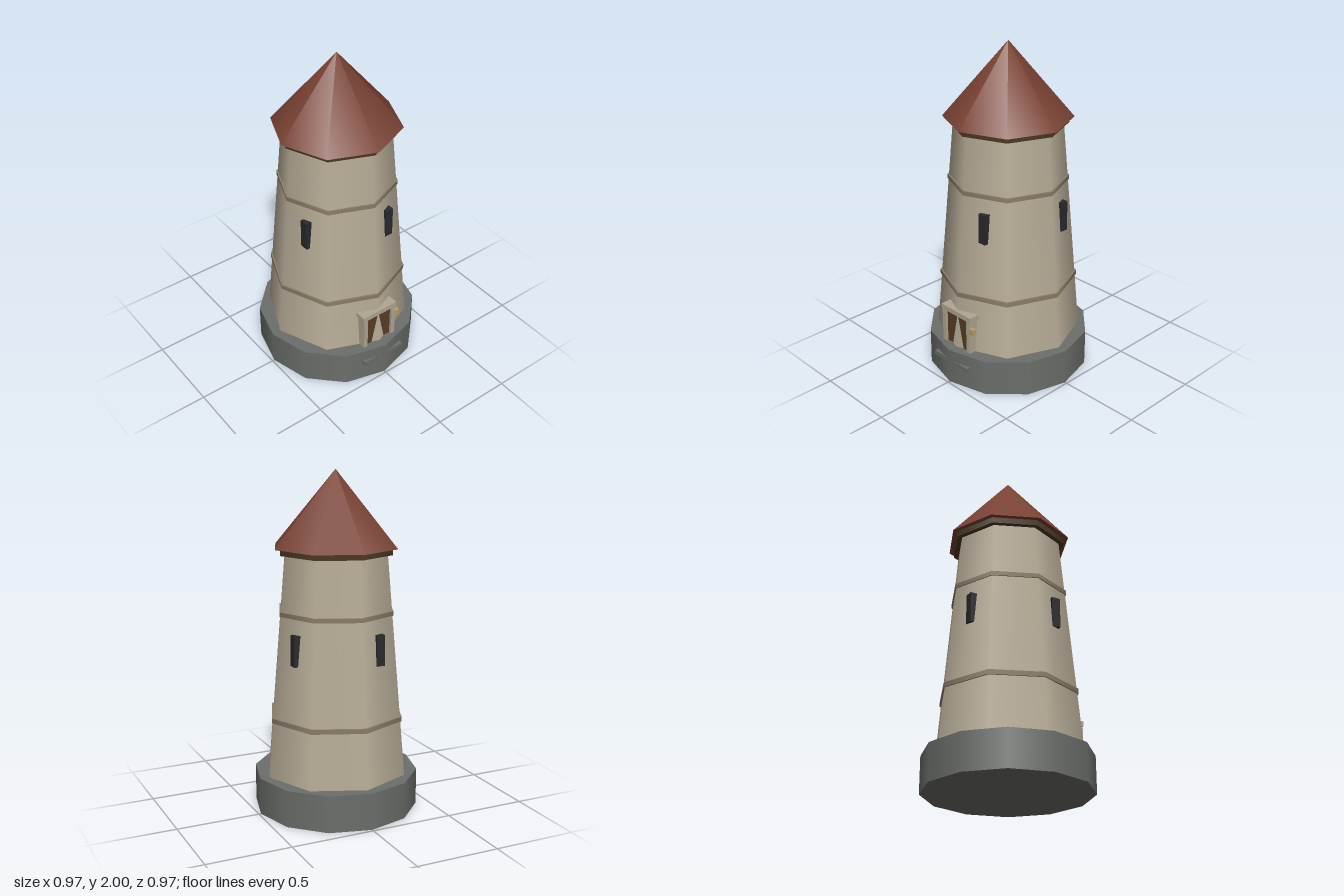
import * as THREE from 'three';

const mat = (color) => new THREE.MeshStandardMaterial({ color });
const stone = mat(0xb8ad98), darkStone = mat(0x6b6e6a), bandStone = mat(0x8c7f6a);
const tile = mat(0x7a4234), timber = mat(0x4c3822), doorWood = mat(0x5a3d24);
const glass = mat(0x2a2a2e), brass = mat(0xb8a05c), frameStone = mat(0xb0a694);

export function createModel() {
  const model = new THREE.Group();

  const add = (name, geometry, material, x, y, z) => {
    const mesh = new THREE.Mesh(geometry, material);
    mesh.name = name;
    mesh.position.set(x, y, z);
    model.add(mesh);
    return mesh;
  };
  // Upright prism between two heights
  const drum = (name, material, rTop, rBottom, y0, y1, sides = 8) =>
    add(name, new THREE.CylinderGeometry(rTop, rBottom, y1 - y0, sides), material, 0, (y0 + y1) / 2, 0);
  // Box given by its extents
  const box = (name, material, x0, x1, y0, y1, z0, z1) =>
    add(name, new THREE.BoxGeometry(x1 - x0, y1 - y0, z1 - z0), material,
      (x0 + x1) / 2, (y0 + y1) / 2, (z0 + z1) / 2);

  // Twelve-sided plinth and tapered octagonal tower
  drum('plinth', darkStone, 0.487, 0.487, 0, 0.22, 12);
  drum('towerWall', stone, 0.312, 0.45, 0.01, 1.56);
  drum('lowerBand', bandStone, 0.41, 0.41, 0.55, 0.578);
  drum('upperBand', bandStone, 0.353, 0.353, 1.177, 1.203);

  // Eaves and roof
  drum('eavesRing', timber, 0.345, 0.345, 1.525, 1.565);
  add('roof', new THREE.ConeGeometry(0.375, 0.44, 8), tile, 0, 1.78, 0);

  // Four slit windows, a quarter turn apart
  for (let i = 0; i < 4; i++) {
    const turn = i * Math.PI / 2;
    const p = new THREE.Vector3(0.127, 1, 0.305).applyAxisAngle(new THREE.Vector3(0, 1, 0), turn);
    add('window', new THREE.BoxGeometry(0.052, 0.18, 0.05), glass, p.x, p.y, p.z).rotation.y = turn;
  }

  // Door with jambs, lintel and handle
  box('door', doorWood, -0.09, 0.09, 0.2, 0.43, 0.35, 0.412);
  for (const s of [-1, 1]) {
    add('doorJamb', new THREE.BoxGeometry(0.027, 0.23, 0.065), frameStone, s * 0.1035, 0.315, 0.395);
  }
  box('doorLintel', frameStone, -0.124, 0.124, 0.43, 0.461, 0.36, 0.428);
  box('doorHandle', brass, 0.115, 0.148, 0.355, 0.391, 0.402, 0.428);

  // Steps set into the plinth
  box('wideStep', darkStone, -0.143, 0.143, 0.124, 0.148, 0.4, 0.475);
  box('narrowStep', darkStone, -0.055, 0.055, 0.121, 0.151, 0.4, 0.48);

  return model;
}
